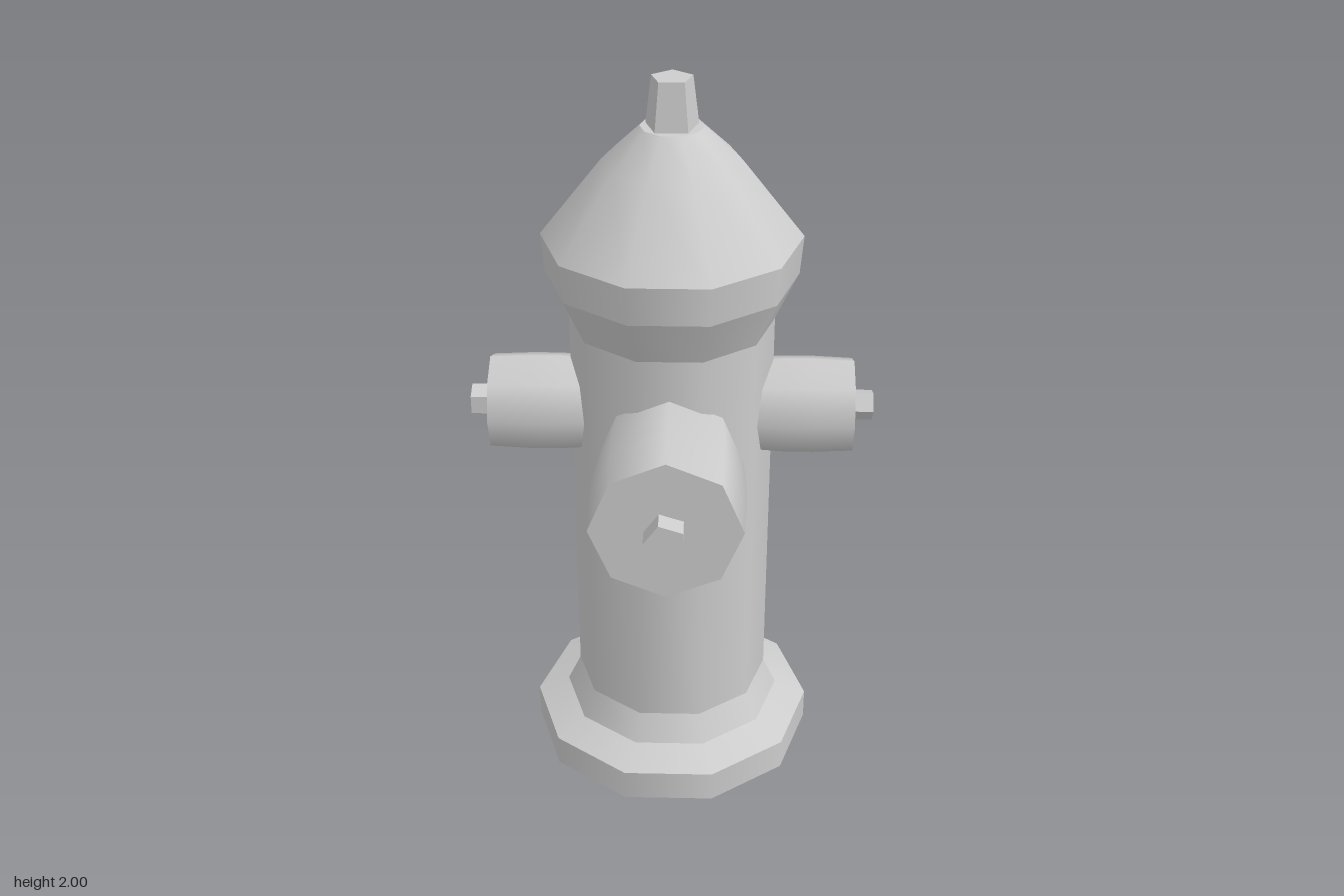
import * as THREE from 'three';
import { mergeGeometries } from 'three/addons/utils/BufferGeometryUtils.js';

const iron = new THREE.MeshStandardMaterial({ color: 0xcccccc, side: THREE.DoubleSide });
iron.name = 'castIron';

// Turns several profiles about y: smooth within each band, sharp between bands.
function turned(bands, sides, phi = 0) {
  return mergeGeometries(bands.map((band) =>
    new THREE.LatheGeometry(band.map(([r, y]) => new THREE.Vector2(r, y)), sides, phi)));
}

function addMesh(parent, name, geometry) {
  const mesh = new THREE.Mesh(geometry, iron);
  mesh.name = name;
  parent.add(mesh);
  return mesh;
}

// Five-sided bolt standing on y = 0, flat shaded.
function boltGeometry(topRadius, bottomRadius, height) {
  const geometry = new THREE.CylinderGeometry(topRadius, bottomRadius, height, 5).toNonIndexed();
  geometry.computeVertexNormals();
  return geometry.translate(0, height / 2, 0);
}

// Outlet pointing along +z from start to end, with a bolt on its cap.
function makeOutlet(name, radius, bulge, start, end, boltRadius) {
  const outlet = new THREE.Group();
  outlet.name = name;
  const length = end - start;
  const barrel = turned([
    [[0, start], [radius, start]],
    [[radius, start], [bulge, start + length * 0.3], [bulge, start + length * 0.6], [radius, end]],
    [[radius, end], [0, end]],
  ], 8);
  addMesh(outlet, name + 'Barrel', barrel.rotateX(Math.PI / 2));
  const bolt = boltGeometry(boltRadius, boltRadius, 0.055).translate(0, end, 0);
  addMesh(outlet, name + 'Bolt', bolt.rotateX(Math.PI / 2).rotateZ(-Math.PI / 2));
  return outlet;
}

export function createModel() {
  const hydrant = new THREE.Group();
  hydrant.name = 'hydrant';
  const axisZ = -0.122;

  // Ten-sided body, open underneath
  const column = new THREE.Group();
  column.name = 'column';
  column.position.z = axisZ;
  hydrant.add(column);
  addMesh(column, 'baseFlange', turned([
    [[0.4, 0], [0.4, 0.09]],
    [[0.4, 0.09], [0.31, 0.13]],
    [[0.31, 0.13], [0.273, 0.21]],
  ], 10, Math.PI / 2));
  addMesh(column, 'barrel', turned([[[0.273, 0.21], [0.273, 1.345]]], 10, Math.PI / 2));
  addMesh(column, 'bonnet', turned([
    [[0.273, 1.345], [0.333, 1.475]],
    [[0.333, 1.475], [0.342, 1.58]],
    [[0.342, 1.58], [0.18, 1.785], [0.082, 1.875]],
    [[0.082, 1.875], [0, 1.875]],
  ], 10, Math.PI / 2));
  const topNut = addMesh(column, 'topNut', boltGeometry(0.055, 0.071, 0.125).rotateY(Math.PI));
  topNut.position.y = 1.875;

  // Large front outlet
  const front = makeOutlet('frontOutlet', 0.195, 0.201, 0.115, 0.445, 0.055);
  front.position.y = 1.035;
  hydrant.add(front);

  // Small outlets on both sides
  for (const [name, side] of [['leftOutlet', 1], ['rightOutlet', -1]]) {
    const outlet = makeOutlet(name, 0.131, 0.136, 0.225, 0.49, 0.043);
    outlet.position.set(0, 1.087, axisZ);
    outlet.rotation.y = side * Math.PI / 2;
    hydrant.add(outlet);
  }

  return hydrant;
}
